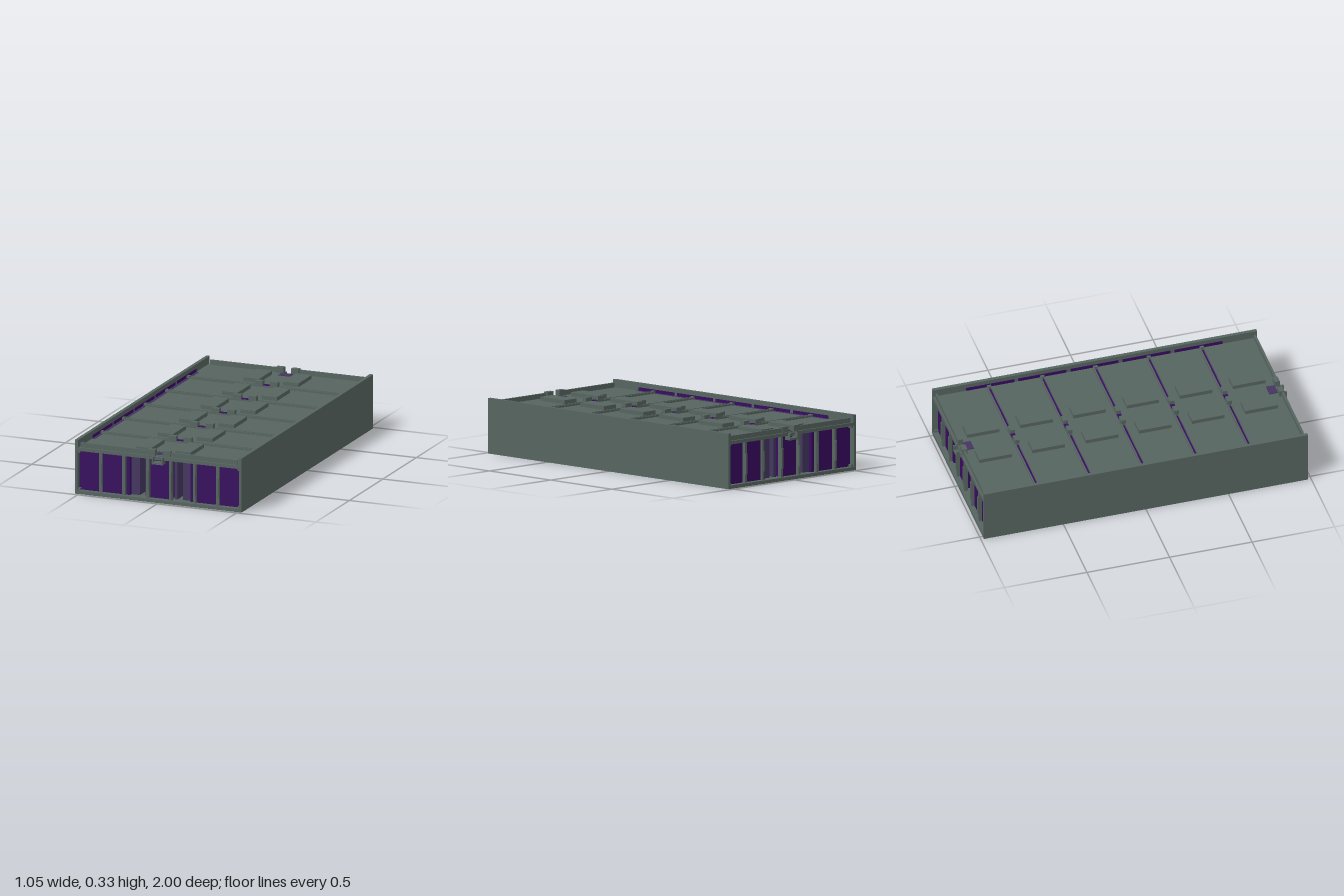
import * as THREE from 'three';

export function createModel() {
  const model = new THREE.Group();
  const shell = new THREE.MeshStandardMaterial({ color: 0x56645f });
  shell.name = 'grey green shell';
  const purple = new THREE.MeshStandardMaterial({ color: 0x380b60 });
  purple.name = 'deep purple';
  const violet = new THREE.MeshStandardMaterial({ color: 0x443560 });
  violet.name = 'dusty violet';

  // Box given by its limits on each axis
  function box(name, mat, x0, x1, y0, y1, z0, z1, parent = model) {
    const m = new THREE.Mesh(new THREE.BoxGeometry(x1 - x0, y1 - y0, z1 - z0), mat);
    m.position.set((x0 + x1) / 2, (y0 + y1) / 2, (z0 + z1) / 2);
    m.name = name;
    parent.add(m);
    return m;
  }

  // Tray: floor and long side walls
  box('floor', shell, -0.525, 0.525, 0, 0.02, -0.982, 0.982);
  for (const s of [-1, 1]) {
    const a = s < 0 ? -0.525 : 0.508;
    box('sideWall', shell, a, a + 0.017, 0.02, 0.275, -0.982, 0.982);
    const r = s < 0 ? -0.525 : 0.504;
    box('sideRim', shell, r, r + 0.021, 0.275, 0.325, -0.982, 0.982);
    // Painted lining on the inner face of the rim
    for (let i = 0; i < 5; i++) {
      const z = -0.78 + i * 0.315, x = s * 0.503;
      box('rimLining', purple, x - 0.002, x + 0.002, 0.281, 0.3, z, z + 0.29);
    }
  }
  box('lidStripe', violet, -0.505, -0.486, 0.278, 0.282, -0.78, 0.775);

  // Six bays: lid, raised pads and cell blocks standing inside
  const columns = [
    [-0.508, -0.37, purple], [-0.36, -0.233, purple], [-0.213, -0.19, purple],
    [-0.19, -0.137, violet], [-0.103, -0.083, violet], [-0.063, 0.063, purple],
    [0.08, 0.1, violet], [0.135, 0.19, violet], [0.19, 0.213, purple],
    [0.23, 0.36, purple], [0.37, 0.508, purple],
  ];
  for (let i = 0; i < 6; i++) {
    const zc = (i - 2.5) * 0.322;
    const bay = new THREE.Group();
    bay.name = 'bay';
    model.add(bay);
    box('lid', shell, -0.508, 0.508, 0.26, 0.28, zc - 0.154, zc + 0.154, bay);
    for (const x of [-0.175, 0.073])
      box('raisedPad', shell, x, x + 0.098, 0.28, 0.303, zc - 0.098, zc + 0.098, bay);
    for (const [x0, x1, mat] of columns) {
      const d = mat === violet ? 0.125 : 0.145;
      box('cellBlock', mat, x0, x1, 0.02, 0.26, zc - d, zc + d, bay);
    }
  }

  // Crossbars between bays, with paired clips and corner blocks
  for (let i = -2; i <= 2; i++) {
    const z = i * 0.322;
    box('jointBase', purple, -0.508, 0.508, 0.255, 0.277, z - 0.01, z + 0.01);
    for (const s of [-1, 1]) {
      box('jointLip', shell, -0.49, 0.49, 0.27, 0.29, z + s * 0.012 - 0.004, z + s * 0.012 + 0.004);
      const x = s * 0.048;
      box('clip', shell, x - 0.024, x + 0.024, 0.27, 0.315, z - 0.014, z + 0.014);
      box('edgeBlock', shell, s * 0.495 - 0.011, s * 0.495 + 0.011, 0.27, 0.295, z - 0.012, z + 0.012);
    }
    box('jointCentre', purple, -0.024, 0.024, 0.275, 0.292, z - 0.014, z + 0.014);
  }

  // Matching open ends: frame, posts, ridge, clips and latch bracket
  for (const s of [1, -1]) {
    const end = new THREE.Group();
    end.name = s > 0 ? 'frontEnd' : 'backEnd';
    model.add(end);
    const part = (name, mat, x0, x1, y0, y1, z0, z1) =>
      box(name, mat, x0, x1, y0, y1, s > 0 ? z0 : -z1, s > 0 ? z1 : -z0, end);
    for (const [x0, x1] of [[-0.525, -0.035], [0.035, 0.525]])
      part('topRail', shell, x0, x1, 0.26, 0.28, 0.955, 0.982);
    part('railBridge', shell, -0.035, 0.035, 0.255, 0.275, 0.955, 0.975);
    for (const x of [-0.518, 0.518])
      part('cornerPost', shell, x - 0.007, x + 0.007, 0.02, 0.325, 0.95, 0.982);
    for (const [x0, x1] of [[-0.493, -0.07], [0.07, 0.493]])
      part('topRidge', shell, x0, x1, 0.28, 0.308, 0.958, 0.97);
    for (const x of [-0.37, -0.224, -0.074, 0.07, 0.221, 0.367]) {
      part('post', shell, x - 0.009, x + 0.009, 0.02, 0.26, 0.945, 0.968);
      part('postPlate', shell, x - 0.007, x + 0.007, 0.07, 0.19, 0.968, 0.974);
    }
    for (const x of [-0.048, 0.048])
      part('endClip', shell, x - 0.024, x + 0.024, 0.275, 0.315, 0.945, 0.975);
    part('latchFloor', shell, -0.036, 0.036, 0.235, 0.247, 0.96, 1.0);
    for (const x of [-0.031, 0.031])
      part('latchCheek', shell, x - 0.005, x + 0.005, 0.247, 0.277, 0.96, 1.0);
    part('latchPlate', violet, -0.036, 0.036, 0.278, 0.284, 0.895, 0.945);
    for (const x of [-0.505, 0.505])
      for (const y of [0.025, 0.255])
        part('cornerGusset', shell, x - 0.008, x + 0.008, y - 0.008, y + 0.008, 0.95, 0.975);
  }

  return model;
}
